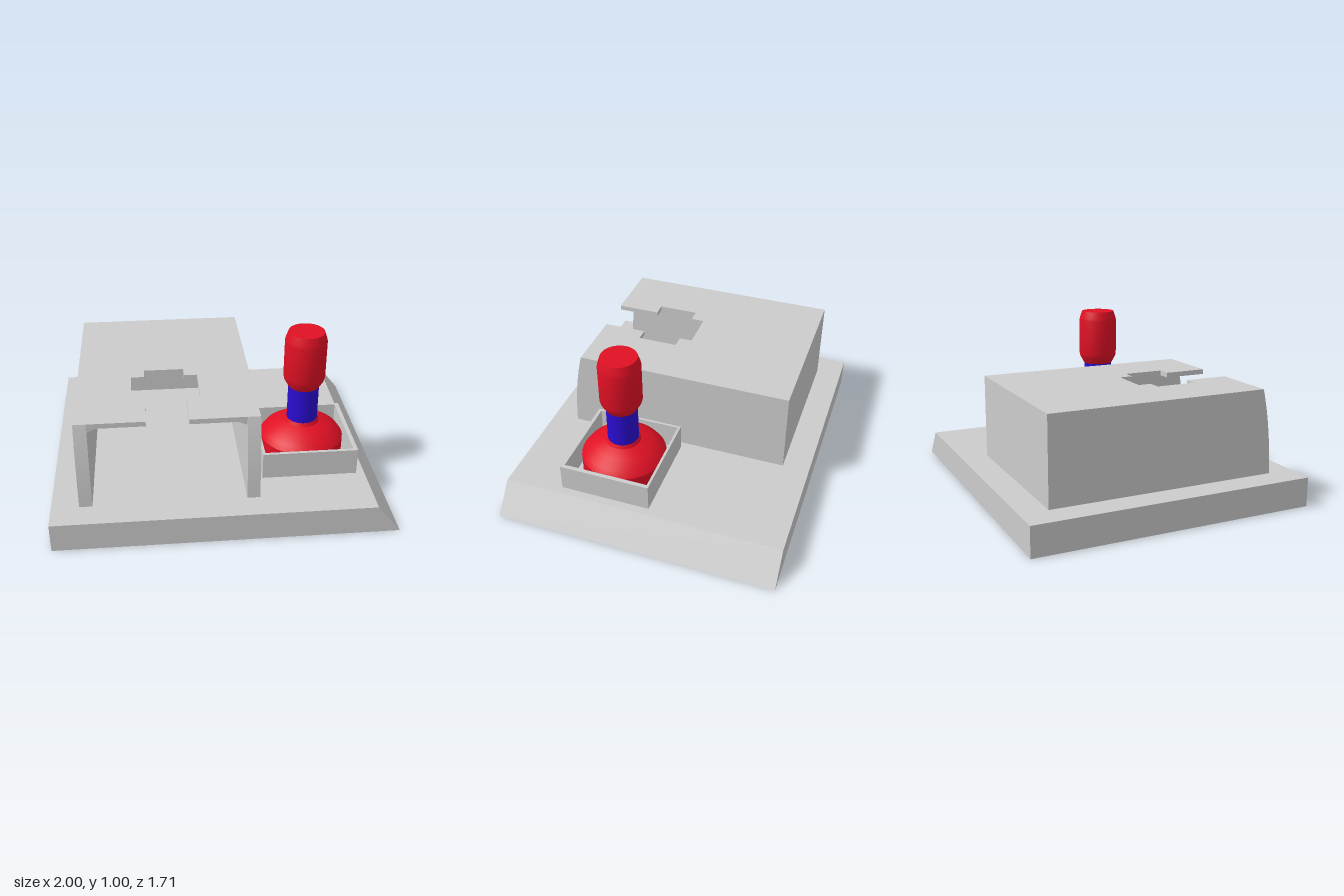
import * as THREE from 'three';
import { toCreasedNormals } from 'three/addons/utils/BufferGeometryUtils.js';

const material = (color) => new THREE.MeshStandardMaterial({ color, side: THREE.DoubleSide });

export function createModel() {
  const model = new THREE.Group();
  const grey = material(0xcccccc);
  const red = material(0xe01024);
  const blue = material(0x2a0cd0);

  const add = (name, geometry, mat = grey) => {
    const mesh = new THREE.Mesh(geometry, mat);
    mesh.name = name;
    model.add(mesh);
    return mesh;
  };
  const polygon = (points) => new THREE.Shape(points.map(([x, y]) => new THREE.Vector2(x, y)));
  const extrude = (shape, depth) =>
    new THREE.ExtrudeGeometry(shape, { depth, bevelEnabled: false, curveSegments: 10 });
  // Box given by its limits on each axis
  const box = (x0, x1, y0, y1, z0, z1) =>
    new THREE.BoxGeometry(x1 - x0, y1 - y0, z1 - z0)
      .translate((x0 + x1) / 2, (y0 + y1) / 2, (z0 + z1) / 2);

  const floor = 0.175;
  const top = 0.685;

  // Base plate with one sloping edge
  add('basePlate', extrude(polygon([[-1, 0], [1, 0], [0.86, floor], [-1, floor]]), 1.705)
    .translate(0, 0, -0.8525));

  // Housing side walls with a curved front edge
  const side = new THREE.Shape();
  side.moveTo(-0.69, floor);
  side.lineTo(0.695, floor);
  side.quadraticCurveTo(0.688, 0.46, 0.63, top);
  side.lineTo(-0.69, top);
  side.closePath();
  for (const [name, x] of [['housingRightWall', -0.765], ['housingLeftWall', 0.2]]) {
    add(name, toCreasedNormals(extrude(side, 0.075).rotateY(-Math.PI / 2).translate(x, 0, 0), 0.5));
  }
  add('housingBackWall', box(-0.765, 0.125, floor, top, -0.69, -0.615));

  // Thin roof with a stepped slot open to the front
  const roof = polygon([
    [-0.765, -0.615], [0.125, -0.615], [0.125, 0.63], [-0.2, 0.63], [-0.2, 0.365],
    [-0.12, 0.365], [-0.12, 0.12], [-0.2, 0.12], [-0.2, 0.04], [-0.44, 0.04],
    [-0.44, 0.12], [-0.52, 0.12], [-0.52, 0.365], [-0.44, 0.365], [-0.44, 0.63], [-0.765, 0.63],
  ]);
  add('housingRoof', extrude(roof, 0.03).rotateX(Math.PI / 2).translate(0, top, 0));

  // Small fillets under the roof corners
  for (const [x, s] of [[-0.765, 1], [0.125, -1]]) {
    add('roofFillet', extrude(polygon([[x, 0.63], [x + s * 0.06, 0.655], [x, 0.655]]), 1.24)
      .translate(0, 0, -0.615));
  }

  // Open tray around the stick
  const tray = polygon([[0.24, -0.51], [0.81, -0.51], [0.81, 0.04], [0.24, 0.04]]);
  tray.holes.push(new THREE.Path(
    [[0.255, -0.49], [0.255, 0.025], [0.785, 0.025], [0.785, -0.49]]
      .map(([x, y]) => new THREE.Vector2(x, y))));
  add('stickTray', extrude(tray, 0.34 - floor).rotateX(-Math.PI / 2).translate(0, floor, 0));

  // Turned stick parts
  const turned = (name, profile, mat) => {
    const lathe = new THREE.LatheGeometry(profile.map(([r, y]) => new THREE.Vector2(r, y)), 40);
    add(name, toCreasedNormals(lathe, 0.6), mat).position.set(0.517, 0, 0.225);
  };
  turned('stickBoot', [[0.255, floor], [0.255, 0.305], [0.23, 0.34], [0.17, 0.382],
    [0.105, 0.405], [0.095, 0.425], [0, 0.425]], red);
  turned('stickShaft', [[0.093, 0.42], [0.093, 0.65]], blue);
  turned('stickHandle', [[0, 0.645], [0.095, 0.645], [0.12, 0.69], [0.125, 0.71],
    [0.125, 0.94], [0.122, 0.955], [0.107, 1], [0, 1]], red);

  return model;
}
